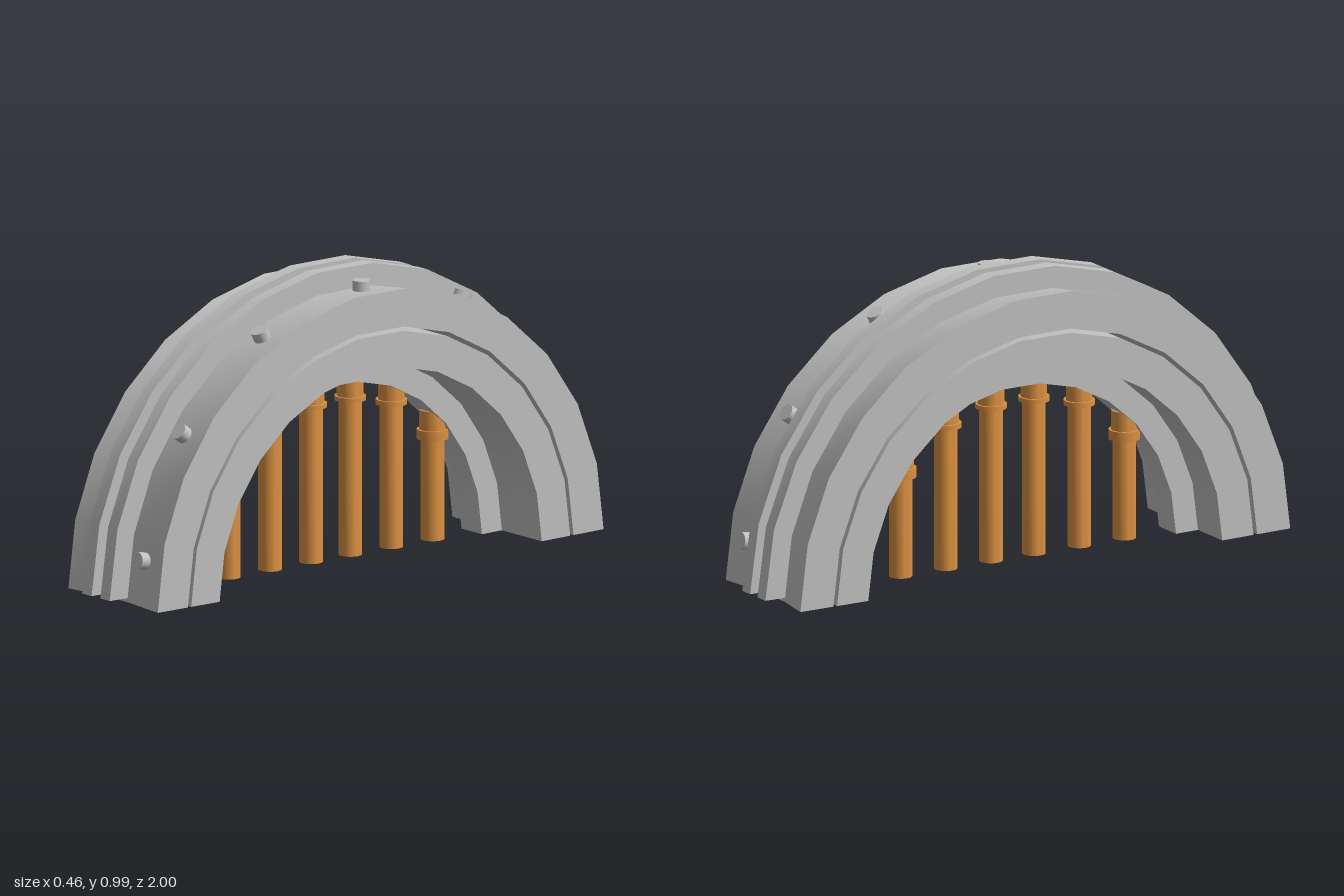
import * as THREE from 'three';
import { mergeGeometries, toCreasedNormals } from 'three/addons/utils/BufferGeometryUtils.js';

const SEGMENTS = 13;
const CENTER_X = -0.0275; // middle of the flanges and inner rib

// Sweep a closed counter-clockwise [radius, x] profile over the half circle, with flat end caps.
// trim is the angle left free above the ground at both ends.
function halfRing(profile, trim) {
  const pts = profile.map(([r, x]) => new THREE.Vector2(r, x));
  const start = Math.PI + trim;
  const length = Math.PI - 2 * trim;
  const body = new THREE.LatheGeometry([...pts, pts[0].clone()], SEGMENTS, start, length);

  const cap = (angle, flip) => {
    const g = new THREE.ShapeGeometry(new THREE.Shape(pts));
    if (flip) {
      const idx = g.index;
      for (let i = 0; i < idx.count; i += 3) {
        const a = idx.getX(i);
        idx.setX(i, idx.getX(i + 1));
        idx.setX(i + 1, a);
      }
    }
    return g.rotateY(angle - Math.PI / 2);
  };

  const parts = [body, cap(start, false), cap(start + length, true)];
  const merged = mergeGeometries(parts.map((g) => g.toNonIndexed()));
  merged.rotateZ(-Math.PI / 2); // lathe axis becomes x
  return toCreasedNormals(merged, 0.45);
}

export function createModel() {
  const model = new THREE.Group();
  const metal = new THREE.MeshStandardMaterial({ color: 0xc0c0c0 });
  metal.name = 'grey metal';
  const copper = new THREE.MeshStandardMaterial({ color: 0xdc9140 });
  copper.name = 'copper';

  const add = (parent, name, geometry, material) => {
    const mesh = new THREE.Mesh(geometry, material);
    mesh.name = name;
    parent.add(mesh);
    return mesh;
  };

  // Outer ring, slightly hollowed towards the middle
  add(model, 'outerRing', halfRing([
    [0.82, -0.23], [0.948, -0.23], [0.925, -0.095], [0.925, 0.045],
    [0.948, 0.23], [0.82, 0.23],
  ], 0.006), metal);

  // Two raised flanges with shorter ends
  for (const [name, x0, x1] of [['rightFlange', -0.097, -0.048], ['leftFlange', -0.003, 0.045]]) {
    add(model, name, halfRing([[0.915, x0], [1, x0], [1, x1], [0.915, x1]], 0.02), metal);
  }

  // Inner ring with a narrow rib, separated from the outer ring by a thin gap
  add(model, 'innerRing', halfRing([
    [0.685, -0.23], [0.806, -0.23], [0.806, 0.23], [0.685, 0.23],
    [0.685, 0.025], [0.6, 0.025], [0.6, -0.08], [0.685, -0.08],
  ], 0.006), metal);

  // Studs spread around the outer ring
  const studs = new THREE.Group();
  studs.name = 'studs';
  model.add(studs);
  for (let i = -3; i <= 3; i++) {
    const a = THREE.MathUtils.degToRad(i * 26.75);
    const stud = add(studs, 'stud', new THREE.CylinderGeometry(0.029, 0.029, 0.034, 24), metal);
    stud.position.set(0.13, 0.951 * Math.cos(a), 0.951 * Math.sin(a));
    stud.rotation.x = a;
  }

  // Hanging pins, each with a collar and a wider neck that runs into the rib
  const pins = new THREE.Group();
  pins.name = 'pins';
  model.add(pins);
  const pinRows = [[0.083, 0.525, 0.54], [0.258, 0.485, 0.502], [0.433, 0.342, 0.375]];
  for (const side of [1, -1]) {
    for (const [z, collarLow, collarHigh] of pinRows) {
      const top = Math.sqrt(0.6 * 0.6 - z * z) + 0.025;
      const pin = add(pins, 'pin', new THREE.LatheGeometry([
        [0, 0.004], [0.039, 0.004], [0.039, 0.004], [0.039, collarLow], [0.039, collarLow],
        [0.052, collarLow], [0.052, collarLow], [0.052, collarHigh], [0.052, collarHigh],
        [0.044, collarHigh], [0.044, collarHigh], [0.044, top], [0.044, top], [0, top],
      ].map(([r, y]) => new THREE.Vector2(r, y)), 28), copper);
      pin.geometry = toCreasedNormals(pin.geometry, 0.5);
      pin.position.set(CENTER_X, 0, side * z);
    }
  }

  return model;
}
